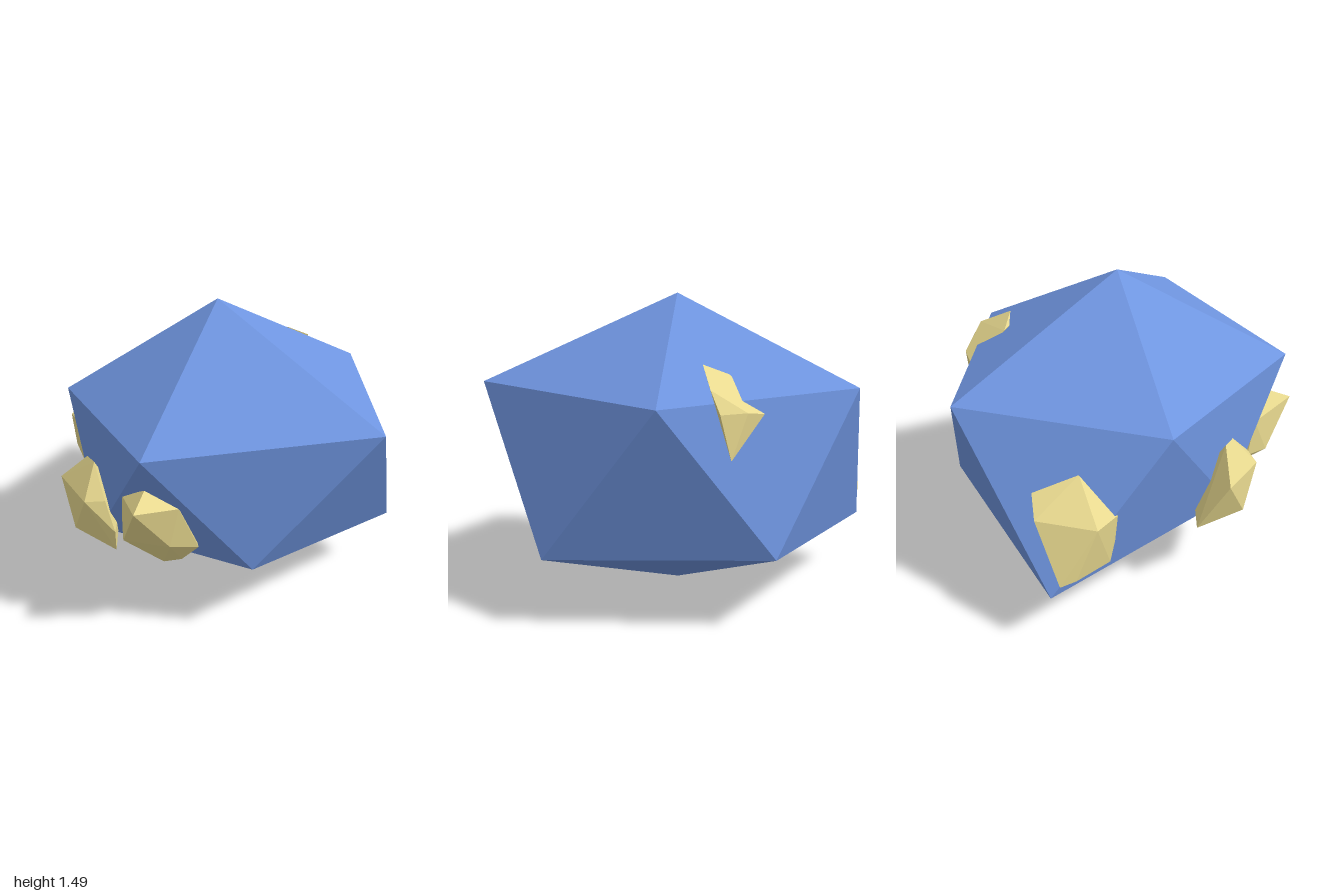
import * as THREE from 'three';
import { ConvexGeometry } from 'three/addons/geometries/ConvexGeometry.js';

const material = (color) => new THREE.MeshStandardMaterial({ color, flatShading: true });

// Uneven twenty-sided boulder: each ring corner has its own distance from the centre
function boulderGeometry() {
  const cx = 0.04, cy = 0.69, cz = -0.02, slope = 0.397;
  const ring = (radii, offset, sign) => radii.map((r, i) => {
    const a = offset + (i * Math.PI * 2) / 5;
    return [cx + r * Math.cos(a), cy + sign * slope * r, cz + r * Math.sin(a)];
  });
  const upper = ring([0.96, 0.855, 0.766, 0.93, 0.862], 0, 1);
  const lower = ring([0.708, 0.68, 1.01, 0.863, 0.91], Math.PI / 5, -1);
  const top = [cx, 1.49, cz], bottom = [cx, 0, cz];
  const corners = [];
  for (let i = 0; i < 5; i++) {
    const j = (i + 1) % 5;
    corners.push(
      top, upper[j], upper[i],
      upper[i], upper[j], lower[i],
      lower[i], upper[j], lower[j],
      bottom, lower[i], lower[j],
    );
  }
  const geometry = new THREE.BufferGeometry();
  geometry.setAttribute('position', new THREE.Float32BufferAttribute(corners.flat(), 3));
  geometry.computeVertexNormals();
  return geometry;
}

// Corner points of the faceted nuggets set into the boulder
const nuggets = {
  rightNugget: [
    [-1, 0.4, 0.04], [-0.72, 0.82, 0.04], [-0.92, 0.68, -0.1], [-0.82, 0.75, -0.15],
    [-0.88, 0.66, 0.18], [-0.75, 0.66, 0.23], [-0.69, 0.58, 0.22], [-0.71, 0.47, 0.2],
    [-0.77, 0.4, 0.2], [-0.9, 0.36, 0.04], [-0.95, 0.41, 0.1], [-0.75, 0.5, -0.1],
  ],
  frontNugget: [
    [-0.25, 0.79, 0.61], [-0.18, 0.79, 0.63], [-0.39, 0.65, 0.67], [-0.13, 0.64, 0.75],
    [-0.05, 0.65, 0.69], [-0.43, 0.41, 0.53], [-0.25, 0.43, 0.72], [-0.2, 0.33, 0.54],
    [0.01, 0.4, 0.69], [0.02, 0.51, 0.7], [-0.2, 0.5, 0.45],
  ],
  frontLeftNugget: [
    [0.25, 0.84, 0.72], [0.08, 0.74, 0.7], [0.05, 0.55, 0.68], [0.05, 0.51, 0.65],
    [0.21, 0.36, 0.57], [0.29, 0.39, 0.53], [0.38, 0.49, 0.51], [0.38, 0.61, 0.54],
    [0.38, 0.76, 0.64], [0.3, 0.79, 0.84], [0.14, 0.55, 0.76], [0.34, 0.55, 0.66],
  ],
  backNugget: [
    [-0.04, 1.15, -0.57], [0.05, 1.19, -0.6], [-0.08, 1.14, -0.58], [0.06, 1.1, -0.78],
    [0.03, 1, -0.83], [-0.1, 1, -0.8], [-0.2, 0.98, -0.72], [-0.02, 0.8, -0.83],
    [-0.05, 0.95, -0.65],
  ],
};

export function createModel() {
  const model = new THREE.Group();
  model.name = 'oreBoulder';

  const boulder = new THREE.Mesh(boulderGeometry(), material(0x6f95e0));
  boulder.name = 'boulder';
  model.add(boulder);

  const gold = material(0xe8d98f);
  for (const [name, points] of Object.entries(nuggets)) {
    const geometry = new ConvexGeometry(points.map((p) => new THREE.Vector3(...p)));
    const nugget = new THREE.Mesh(geometry, gold);
    nugget.name = name;
    model.add(nugget);
  }
  return model;
}
